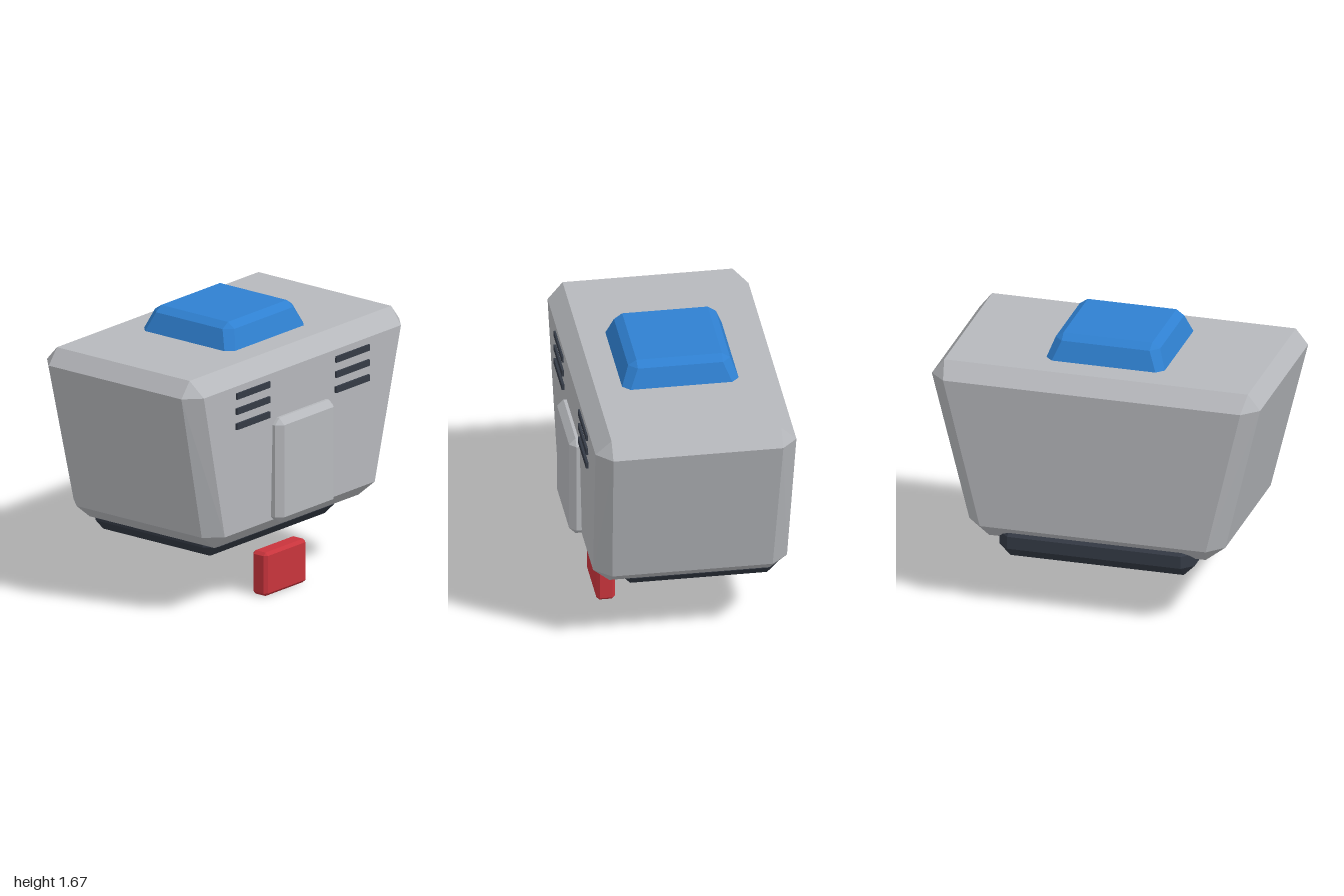
import * as THREE from 'three';
import { ConvexGeometry } from 'three/addons/geometries/ConvexGeometry.js';

const mat = (name, color) => {
  const m = new THREE.MeshStandardMaterial({ color });
  m.name = name;
  return m;
};

// Corners of a rectangle at height y, symmetric in x
const rect = (y, x, front, back) =>
  [[x, front], [-x, front], [x, back], [-x, back]].map(([px, pz]) => new THREE.Vector3(px, y, pz));

// Rectangle with cut corners: cx and cz are the corner cuts along x and z
const ring = (y, x, front, back, cx, cz) => [
  ...rect(y, x, front - cz, back + cz),
  ...rect(y, x - cx, front, back),
];

// Faceted solid wrapped around its cross-sections
function solid(name, material, ...sections) {
  const mesh = new THREE.Mesh(new ConvexGeometry(sections.flat()), material);
  mesh.name = name;
  return mesh;
}

// Straight box with every edge chamfered by c
const chamferBox = (name, material, x, y0, y1, front, back, c) => solid(name, material,
  rect(y0, x - c, front - c, back + c),
  ring(y0 + c, x, front, back, c, c),
  ring(y1 - c, x, front, back, c, c),
  rect(y1, x - c, front - c, back + c));

export function createModel() {
  const group = new THREE.Group();
  const grey = mat('light grey', 0xb6b8bc);
  const dark = mat('dark slate', 0x343a45);
  const blue = mat('blue', 0x2f80d0);
  const red = mat('red', 0xc8343c);

  // Tapered main body, wider at the top
  group.add(solid('body', grey,
    rect(0.42, 0.66, 0.45, -0.5),
    ring(0.513, 0.78, 0.55, -0.598, 0.092, 0.099),
    ring(1.425, 1, 0.57, -0.62, 0.095, 0.092),
    rect(1.52, 0.925, 0.478, -0.528)));

  // Dark base under the body
  group.add(chamferBox('base', dark, 0.595, 0.31, 0.52, 0.372, -0.572, 0.067));

  // Blue cap on the roof
  group.add(solid('topCap', blue,
    ring(1.515, 0.362, 0.322, -0.372, 0.044, 0.044),
    ring(1.635, 0.318, 0.277, -0.327, 0.05, 0.05),
    rect(1.668, 0.27, 0.228, -0.278)));

  // Raised front panel
  group.add(chamferBox('frontPanel', grey, 0.265, 0.498, 1.14, 0.62, 0.45, 0.038));

  // Three vent slats on each side of the front
  for (const side of [-1, 1]) {
    for (const y of [1.364, 1.271, 1.178]) {
      const slat = new THREE.Mesh(new THREE.BoxGeometry(0.306, 0.038, 0.06), dark);
      slat.name = 'ventSlat';
      slat.position.set(side * 0.456, y, 0.55);
      group.add(slat);
    }
  }

  // Red block hanging below the front
  group.add(chamferBox('redBlock', red, 0.19, 0, 0.267, 0.45, 0.34, 0.018));

  return group;
}
